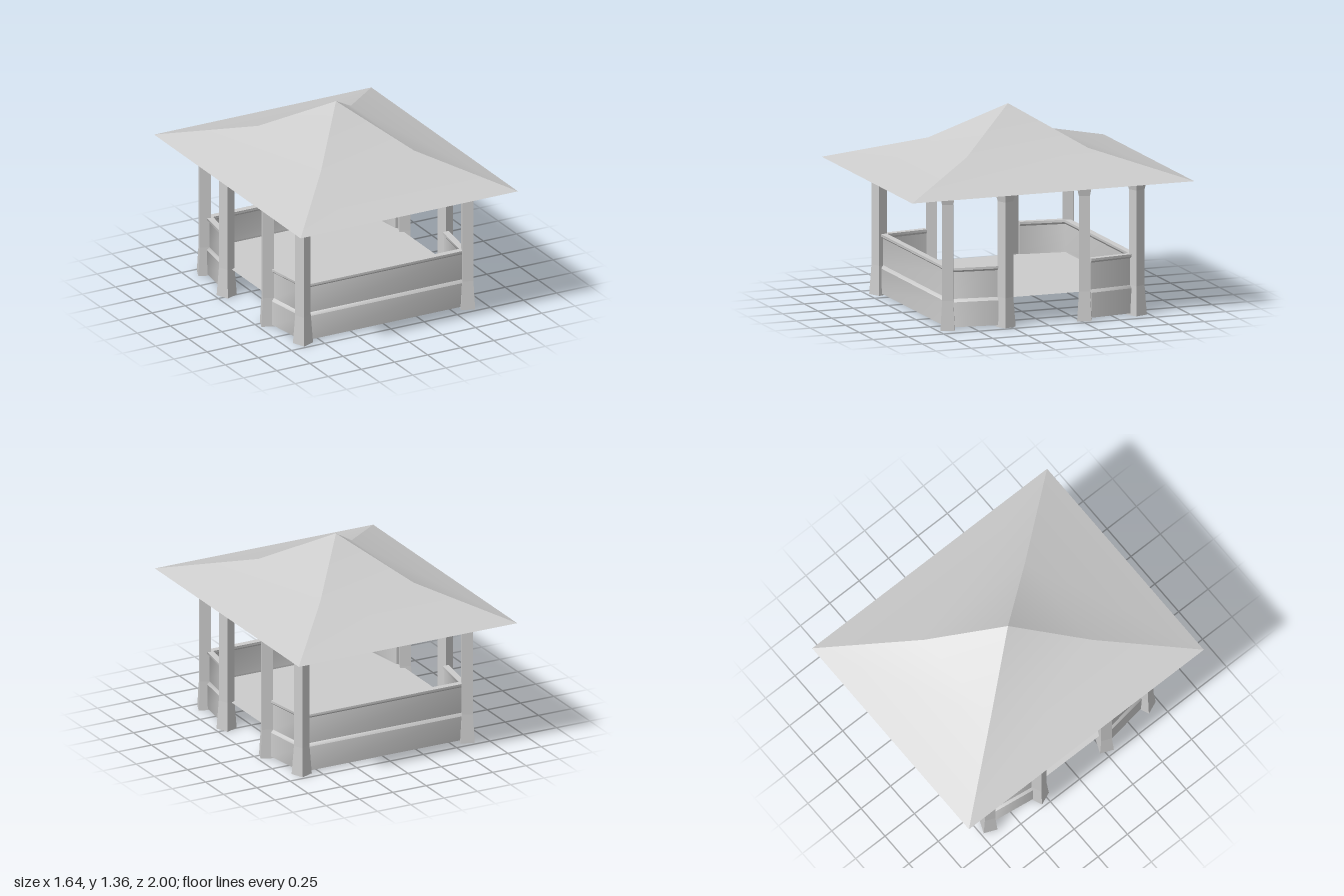
import * as THREE from 'three';
import { mergeGeometries } from 'three/addons/utils/BufferGeometryUtils.js';

const smooth = new THREE.MeshStandardMaterial({ color: 0xcccccc, side: THREE.DoubleSide });
const flat = new THREE.MeshStandardMaterial({ color: 0xcccccc, side: THREE.DoubleSide, flatShading: true });

// Surface through rows of points: columns run left to right, rows upward, seen from outside
function loft(rows) {
  const cols = rows[0].length, index = [];
  for (let i = 0; i < rows.length - 1; i++) {
    for (let j = 0; j < cols - 1; j++) {
      const a = i * cols + j, b = a + 1, c = a + cols, d = c + 1;
      index.push(a, b, d, a, d, c);
    }
  }
  const g = new THREE.BufferGeometry();
  g.setAttribute('position', new THREE.Float32BufferAttribute(rows.flat(2), 3));
  g.setIndex(index);
  g.computeVertexNormals();
  return g;
}

function add(parent, name, geometry, material = smooth) {
  const mesh = new THREE.Mesh(geometry, material);
  mesh.name = name;
  parent.add(mesh);
  return mesh;
}

// Plan of the half wall: doorway end, corner, corner, doorway end, moved outward by d
function wallRow(d, y) {
  const corner = [0.6 + 0.87 * d, 0.65 + d], end = [0.645 + 1.01 * d, 0.33];
  return [
    [-end[0], y, end[1]], [-corner[0], y, corner[1]],
    [corner[0], y, corner[1]], [end[0], y, end[1]],
  ];
}

// Low wall with a thicker lower panel, sloped ledge and overhanging top rail
function wallGeometry() {
  const levels = [ // height, outer offset, inner offset
    [0.012, 0.022, -0.012], [0.18, 0.022, -0.012], [0.2, 0.006, -0.012],
    [0.38, 0.006, -0.012], [0.394, 0.022, -0.022], [0.41, 0.022, -0.022],
  ];
  const outer = levels.map(([y, o]) => wallRow(o, y));
  const inner = levels.map(([y, , i]) => wallRow(i, y));
  const loop = [...outer, ...inner.slice().reverse(), outer[0]];
  const pieces = [];
  for (let i = 0; i < loop.length - 1; i++) pieces.push(loft([loop[i], loop[i + 1]]));
  // End caps at the doorways
  pieces.push(loft(levels.map((_, k) => [inner[k][0], outer[k][0]])));
  pieces.push(loft(levels.map((_, k) => [outer[k][3], inner[k][3]])));
  return mergeGeometries(pieces);
}

// Four hipped sides, each bending from a shallow eave to a steep peak
function roofGeometry() {
  const levels = [[0.82, 1, 0.912], [0.35, 0.43, 1.09], [0, 0, 1.356]];
  const corners = [[-1, 1], [1, 1], [1, -1], [-1, -1]];
  return mergeGeometries(corners.map((a, k) => {
    const b = corners[(k + 1) % 4];
    return loft(levels.map(([x, z, y]) => [a, b].map(([sx, sz]) => [sx * x, y, sz * z])));
  }));
}

export function createModel() {
  const model = new THREE.Group();
  model.name = 'pavilion';

  // Roof
  add(model, 'roof', roofGeometry());
  const ceiling = add(model, 'ceiling', new THREE.PlaneGeometry(1.64, 2).rotateX(Math.PI / 2));
  ceiling.position.y = 0.912;

  // Square posts with flared foot and head, hollow below
  const postProfile = [[0.095, 0], [0.073, 0.2], [0.073, 0.845], [0.094, 0.896], [0, 0.896]]
    .map(([w, y]) => new THREE.Vector2(w / Math.SQRT2, y));
  const postGeometry = new THREE.LatheGeometry(postProfile, 4);
  const kinds = [['cornerPost', 0.62, 0.67, -1], ['doorPost', 0.67, 0.28, 1]];
  for (const [name, x, z, turn] of kinds) {
    for (const sx of [-1, 1]) {
      for (const sz of [-1, 1]) {
        const post = add(model, name, postGeometry, flat);
        post.position.set(sx * x, 0, sz * z);
        post.rotation.y = Math.PI / 4 + turn * sx * sz * Math.PI / 8;
      }
    }
  }

  // Low walls, open at both sides for the doorways
  const wall = wallGeometry();
  add(model, 'frontWall', wall);
  add(model, 'backWall', wall).rotation.y = Math.PI;

  // Raised eight-sided floor, level with the ledge of the walls
  const outline = [[0.65, -0.28], [0.65, 0.28], [0.6, 0.65], [-0.6, 0.65],
    [-0.65, 0.28], [-0.65, -0.28], [-0.6, -0.65], [0.6, -0.65]];
  const floorShape = new THREE.Shape(outline.map(([x, z]) => new THREE.Vector2(x, z)));
  const floor = add(model, 'floor', new THREE.ShapeGeometry(floorShape).rotateX(-Math.PI / 2));
  floor.position.y = 0.19;

  return model;
}
